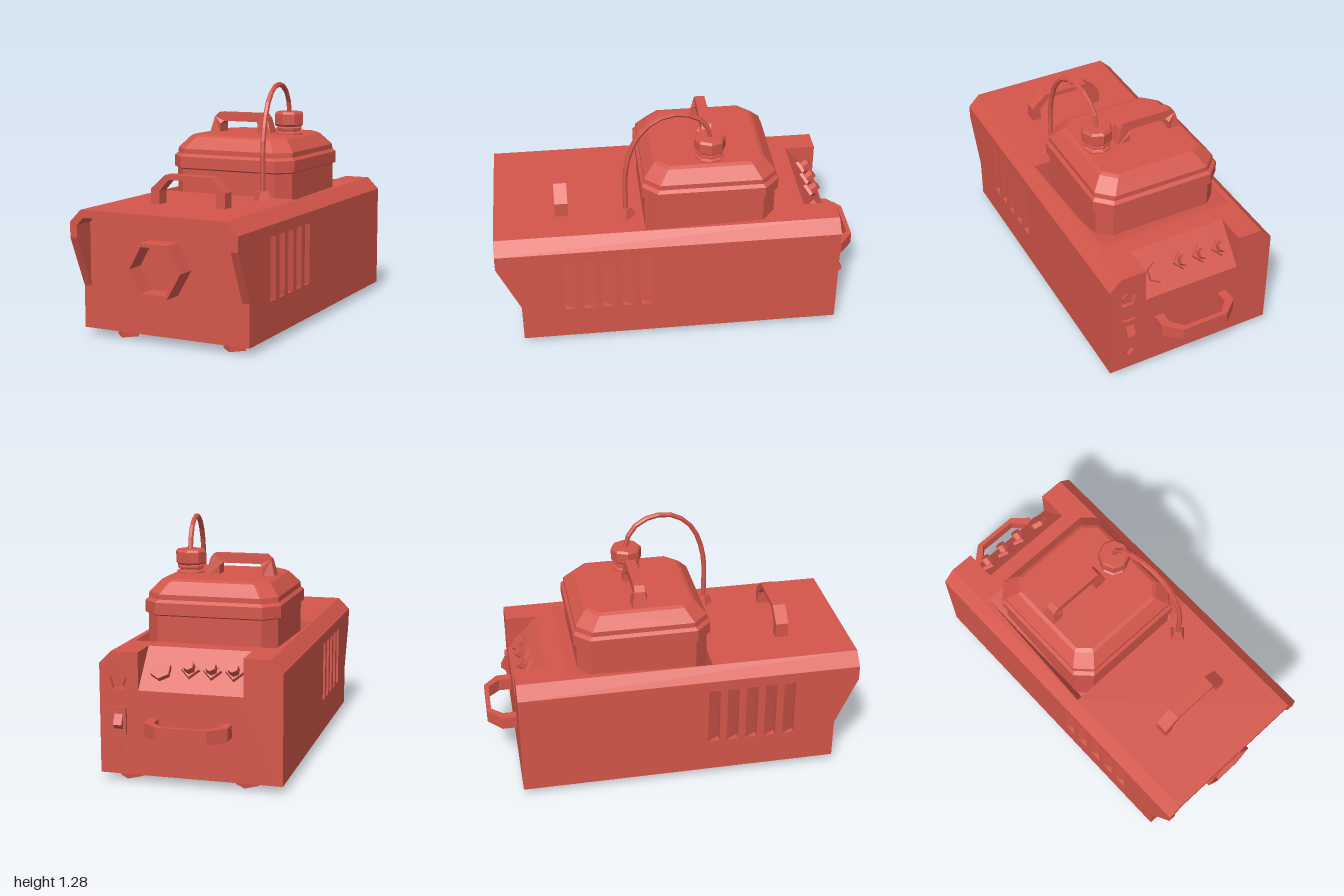
import * as THREE from 'three';

const red = new THREE.MeshStandardMaterial({ color: 0xd4564a, flatShading: true, side: THREE.DoubleSide });
red.name = 'red';

export function createModel() {
  const model = new THREE.Group();
  model.name = 'fogMachine';

  // Adds a faceted mesh to a parent
  const add = (name, geo, x = 0, y = 0, z = 0, parent = model) => {
    const g = geo.index ? geo.toNonIndexed() : geo;
    g.computeVertexNormals();
    const m = new THREE.Mesh(g, red);
    m.name = name;
    m.position.set(x, y, z);
    parent.add(m);
    return m;
  };
  const v2 = pts => pts.map(p => new THREE.Vector2(p[0], p[1]));
  // Flat outline with holes, extruded along +z
  const plate = (pts, depth, holes = []) => {
    const s = new THREE.Shape(v2(pts));
    holes.forEach(h => s.holes.push(new THREE.Path(v2(h))));
    return new THREE.ExtrudeGeometry(s, { depth, bevelEnabled: false });
  };
  const sidePlate = (...a) => plate(...a).rotateY(-Math.PI / 2); // outline in (z, y), grows toward -x
  const flatPlate = (...a) => plate(...a).rotateX(Math.PI / 2);  // outline in (x, z), grows toward -y
  const rect = (x0, y0, x1, y1) => [[x0, y0], [x1, y0], [x1, y1], [x0, y1]];
  const ngon = (n, r, cx, cy, turn = Math.PI / 2) => Array.from({ length: n }, (_, i) => {
    const a = turn + i / n * Math.PI * 2;
    return [cx + r * Math.cos(a), cy + r * Math.sin(a)];
  });
  const faces = tris => {
    const g = new THREE.BufferGeometry();
    g.setAttribute('position', new THREE.Float32BufferAttribute(tris.flat(2), 3));
    return g;
  };
  const quad = (a, b, c, d) => [a, b, c, a, c, d];

  // Housing: side walls with louvred vents and an overhanging front edge
  const vents = Array.from({ length: 5 }, (_, i) => 0.168 + i * 0.104);
  const wall = [[-0.845, 0.04], [0.88, 0.04], [0.88, 0.26], [1, 0.53], [1, 0.61], [-0.845, 0.61]];
  for (const s of [1, -1]) {
    const side = s > 0 ? 'left' : 'right';
    add(side + 'Wall', sidePlate(wall, 0.04, vents.map(z => rect(z, 0.225, z + 0.064, 0.55))), s > 0 ? 0.475 : -0.435);
    vents.forEach(z => add(side + 'Louvre', flatPlate(
      [[s * 0.475, z], [s * 0.425, z], [s * 0.425, z + 0.064], [s * 0.435, z + 0.064]], 0.325), 0, 0.55));
    add(side + 'Chamfer', plate([[s * 0.475, 0.61], [s * 0.41, 0.675], [s * 0.395, 0.635], [s * 0.435, 0.595]], 1.845), 0, 0, -0.845);
  }

  // Deck with the tank well and a cut-out for the controls
  add('deck', flatPlate([[-0.41, 1], [0.41, 1], [0.41, -0.845], [0.27, -0.845], [0.27, -0.675],
    [-0.275, -0.675], [-0.275, -0.845], [-0.41, -0.845]], 0.04,
    [[[-0.376, -0.57], [0.376, -0.57], [0.407, 0.2], [-0.407, 0.2]]]), 0, 0.675);
  add('base', flatPlate(rect(-0.475, -0.845, 0.475, 0.88), 0.02), 0, 0.06);
  add('frontPanel', plate([[-0.435, 0.04], [0.435, 0.04], [0.435, 0.6], [0.395, 0.64], [-0.395, 0.64], [-0.435, 0.6]], 0.04), 0, 0, 0.84);

  // Sloping well under the tank
  const rim = s => [s * 0.376, 0.675, -0.57], lip = s => [s * 0.407, 0.675, 0.2], low = s => [s * 0.345, 0.5, 0.2];
  add('tankWell', faces([
    ...quad(rim(-1), low(-1), low(1), rim(1)), ...quad(lip(-1), lip(1), low(1), low(-1)),
    rim(1), low(1), lip(1), rim(-1), lip(-1), low(-1)]));

  // Back panel with sockets
  add('backPanel', plate([[-0.475, 0.04], [0.475, 0.04], [0.475, 0.61], [0.41, 0.675], [0.27, 0.675], [0.27, 0.48],
    [-0.275, 0.48], [-0.275, 0.675], [-0.41, 0.675], [-0.475, 0.61]], 0.03,
    [ngon(5, 0.052, 0.373, 0.525), ngon(4, 0.032, 0.365, 0.155)]), 0, 0, -0.845);
  add('socketBacking', new THREE.BoxGeometry(0.12, 0.5, 0.01), 0.37, 0.34, -0.815);
  add('socketPlug', plate(ngon(5, 0.034, 0.373, 0.525), 0.025), 0, 0, -0.84);
  add('switchFrame', new THREE.BoxGeometry(0.075, 0.14, 0.02), 0.37, 0.32, -0.85);
  add('switchRocker', sidePlate([[-0.85, 0.375], [-0.888, 0.305], [-0.85, 0.27]], 0.045), 0.3925);

  // Sloped control panel with cheeks and knobs
  add('controlPanel', faces(quad([-0.275, 0.48, -0.845], [-0.275, 0.675, -0.675], [0.27, 0.675, -0.675], [0.27, 0.48, -0.845])));
  for (const x of [0.28, -0.275])
    add('controlCheek', sidePlate([[-0.845, 0.48], [-0.675, 0.675], [-0.845, 0.675]], 0.01), x);
  const controls = new THREE.Group();
  controls.name = 'controls';
  controls.position.set(0, 0.5775, -0.76);
  controls.rotation.x = -Math.atan2(0.195, 0.17);
  model.add(controls);
  for (const x of [-0.21, -0.095, 0.02]) {
    add('knobCollar', new THREE.CylinderGeometry(0.045, 0.05, 0.018, 4), x, 0.009, 0, controls);
    add('knob', new THREE.CylinderGeometry(0.028, 0.03, 0.06, 6), x, 0.03, 0, controls);
  }
  add('roundButton', new THREE.CylinderGeometry(0.055, 0.055, 0.03, 6), 0.17, 0.015, -0.015, controls);

  // Carry handles
  const grip = depth => plate([[-0.215, 0], [-0.215, 0.08], [-0.13, 0.155], [0.13, 0.155], [0.215, 0.08], [0.215, 0],
    [0.165, 0], [0.165, 0.07], [0.11, 0.13], [-0.11, 0.13], [-0.165, 0.07], [-0.165, 0]], depth);
  add('deckHandle', grip(0.07), 0.017, 0.675, 0.6);
  add('backHandle', grip(0.07).rotateX(-Math.PI / 2), 0, 0.27, -0.845);

  // Hexagonal nozzle
  add('nozzle', new THREE.LatheGeometry(v2([[0.155, 0], [0.155, 0.11], [0.135, 0.11], [0.135, 0.005], [0, 0.005]]), 6)
    .rotateY(Math.PI / 6).rotateX(Math.PI / 2), 0, 0.395, 0.88);

  // Feet
  for (const x of [-0.27, 0.348]) for (const z of [0.79, -0.74])
    add('foot', new THREE.CylinderGeometry(0.062, 0.062, 0.04, 4), x, 0.02, z);

  // Tank: stacked square sections with cut corners [half width, corner cut, height]
  const ring = ([h, c, y]) => [[h, c - h], [h, h - c], [h - c, h], [c - h, h], [-h, h - c], [-h, c - h], [c - h, -h], [h - c, -h]]
    .map(([x, z]) => [x, y, z]);
  const loft = sections => {
    const rings = sections.map(ring), tris = [];
    for (let j = 0; j + 1 < rings.length; j++) for (let i = 0; i < 8; i++) {
      const k = (i + 1) % 8;
      tris.push(...quad(rings[j][i], rings[j + 1][i], rings[j + 1][k], rings[j][k]));
    }
    const top = rings[rings.length - 1], y = top[0][1];
    for (let i = 0; i < 8; i++) tris.push([0, y, 0], top[(i + 1) % 8], top[i]);
    return faces(tris);
  };
  add('tank', loft([[0.35, 0.07, 0.51], [0.35, 0.07, 0.8], [0.366, 0.08, 0.808], [0.366, 0.08, 0.87], [0.35, 0.075, 0.885],
    [0.35, 0.08, 0.912], [0.295, 0.07, 0.975], [0.275, 0.06, 0.985]]), -0.002, 0, -0.158);

  // Tank handle, wider at the foot than at the grip
  const tankGrip = plate([[-0.28, 0.97], [-0.255, 1.07], [-0.225, 1.095], [0.06, 1.095], [0.08, 1.07], [0.105, 0.97],
    [0.025, 0.97], [0.025, 1.03], [0.01, 1.045], [-0.195, 1.045], [-0.21, 1.03], [-0.21, 0.97]], 1).translate(0, 0, -0.5);
  const p = tankGrip.attributes.position;
  for (let i = 0; i < p.count; i++) p.setZ(i, p.getZ(i) * (p.getY(i) < 1.035 ? 0.09 : 0.055));
  add('tankHandle', tankGrip, 0, 0, -0.163);

  // Filler neck and cap
  add('fillerNeck', new THREE.LatheGeometry(v2([[0.078, 0.975], [0.078, 0.992], [0.062, 1], [0.062, 1.008], [0.074, 1.012],
    [0.074, 1.022], [0.06, 1.028], [0.06, 1.04]]), 8), 0.198, 0, -0.163);
  add('fillerCap', new THREE.LatheGeometry(v2([[0, 1.03], [0.075, 1.03], [0.084, 1.04], [0.084, 1.098], [0.074, 1.11], [0, 1.11]]), 8),
    0.198, 0, -0.163);

  // Hose from the cap to its deck fitting
  const hosePath = [[-0.165, 1.1], [-0.14, 1.185], [-0.075, 1.245], [0.03, 1.27], [0.13, 1.245], [0.225, 1.155], [0.285, 0.98], [0.292, 0.7]]
    .map(([z, y]) => new THREE.Vector3(0.2 + (z + 0.165) * 0.125, y, z));
  add('hose', new THREE.TubeGeometry(new THREE.CatmullRomCurve3(hosePath), 14, 0.014, 6));
  add('hoseFitting', new THREE.CylinderGeometry(0.03, 0.053, 0.048, 4), 0.257, 0.699, 0.292);

  return model;
}
